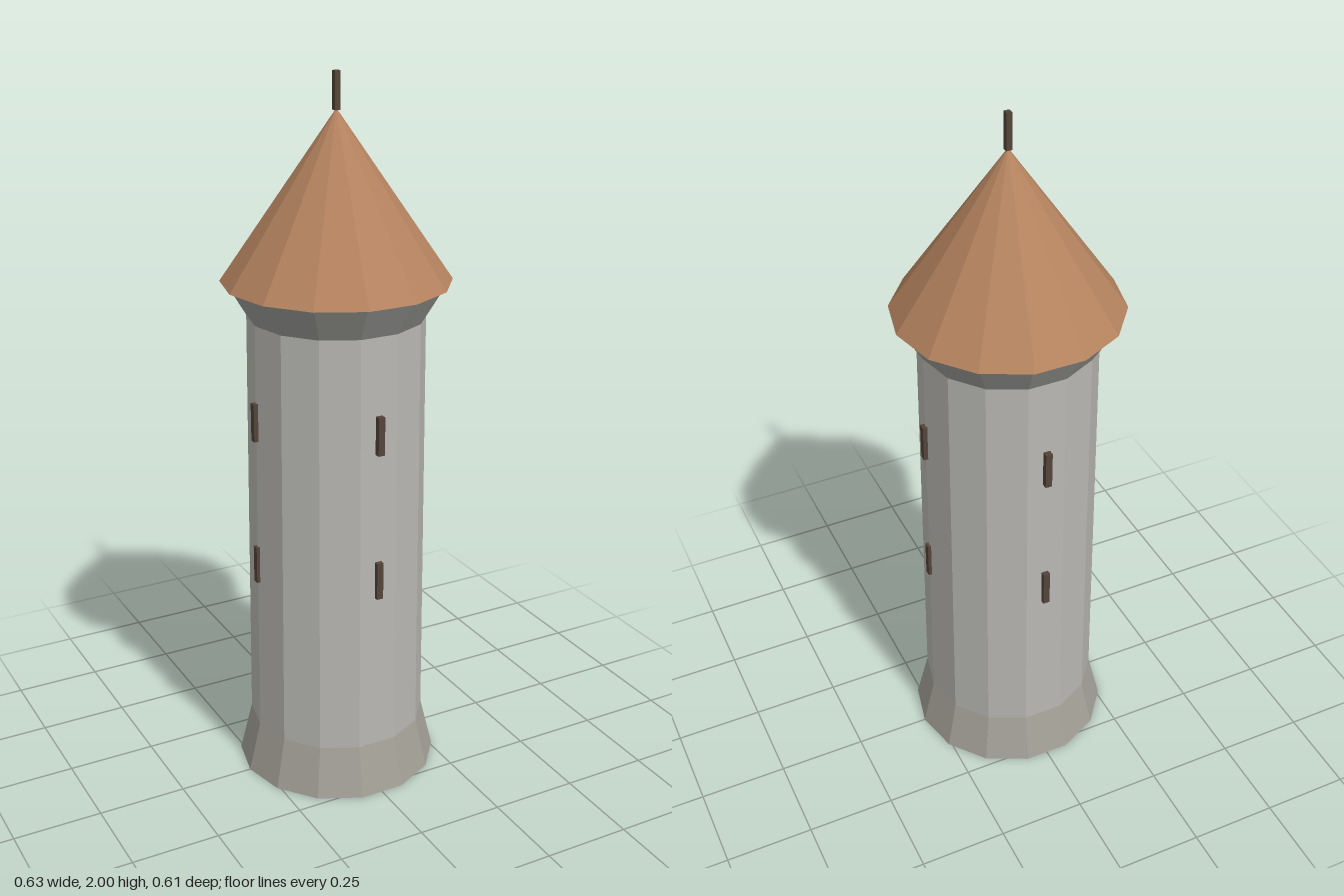
import * as THREE from 'three';

const SIDES = 14;

const material = (color) =>
  new THREE.MeshStandardMaterial({ color, flatShading: true, side: THREE.DoubleSide });

export function createModel() {
  const tower = new THREE.Group();
  tower.name = 'tower';

  const wood = material(0x54443a);

  // Open faceted ring between two heights, with a corner on the x axis
  const addRing = (name, rBottom, rTop, y0, y1, mat) => {
    const geo = new THREE.CylinderGeometry(rTop, rBottom, y1 - y0, SIDES, 1, true, Math.PI / 2);
    const mesh = new THREE.Mesh(geo, mat);
    mesh.name = name;
    mesh.position.y = (y0 + y1) / 2;
    tower.add(mesh);
  };

  const addBox = (name, w, h, d, x, y, z) => {
    const mesh = new THREE.Mesh(new THREE.BoxGeometry(w, h, d), wood);
    mesh.name = name;
    mesh.position.set(x, y, z);
    tower.add(mesh);
  };

  // Masonry, from the flared foot up to the corbel under the eaves
  addRing('flaredBase', 0.287, 0.252, 0, 0.146, material(0xa3a097));
  addRing('shaft', 0.252, 0.243, 0.146, 1.355, material(0xb8b7b3));
  addRing('corbel', 0.243, 0.3, 1.355, 1.45, material(0x9c9c98));

  // Pointed roof, open underneath, and its finial
  addRing('roof', 0.313, 0, 1.45, 1.905, material(0xb5835f));
  addBox('finial', 0.016, 0.1, 0.016, 0, 1.95, 0);

  // Two rows of slit windows, one on each of the four sides
  for (const y of [0.662, 1.085]) {
    for (let i = 0; i < 4; i++) {
      const a = (i * Math.PI) / 2;
      addBox('slitWindow', 0.019, 0.108, 0.019, 0.246 * Math.sin(a), y, 0.246 * Math.cos(a));
    }
  }

  return tower;
}
